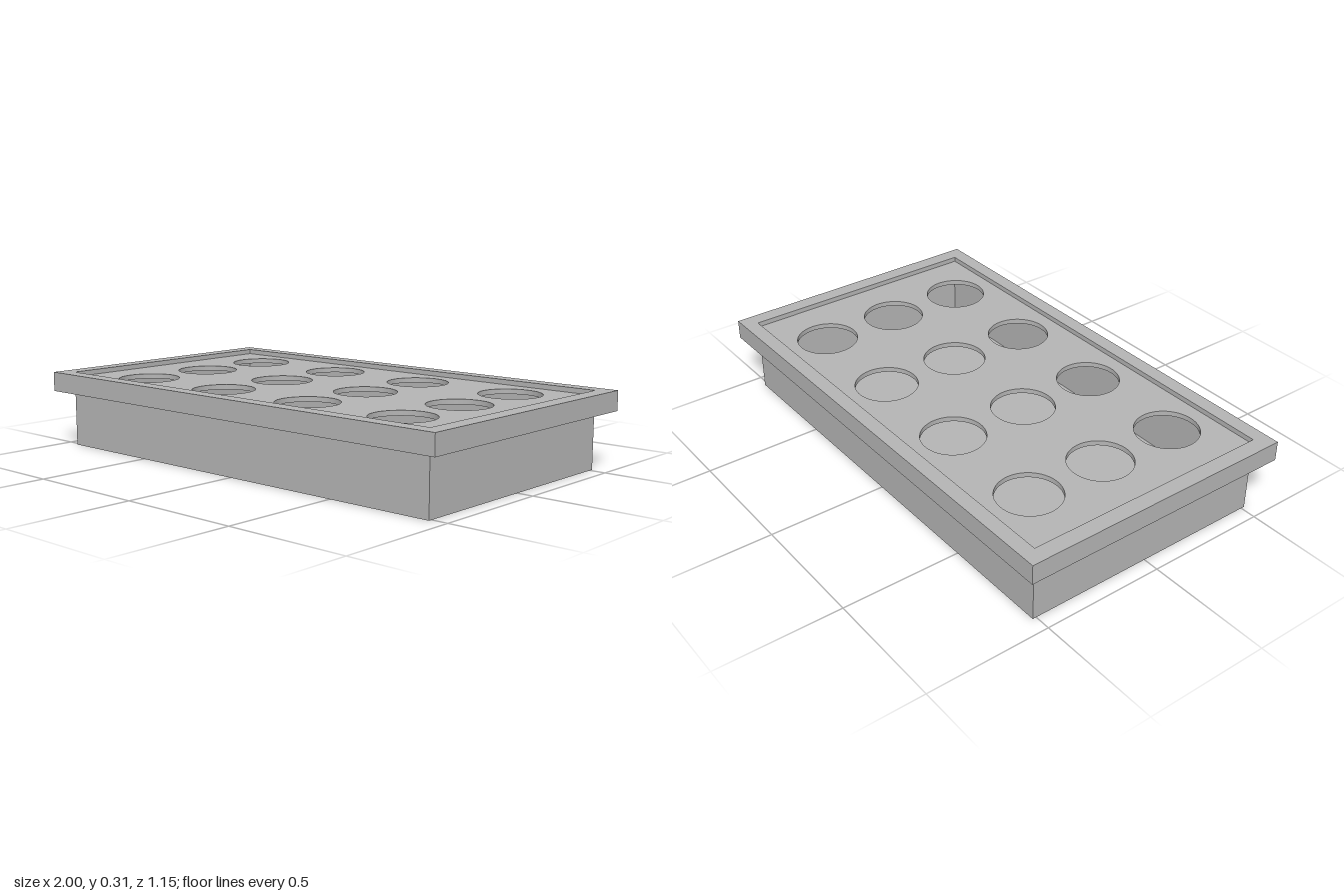
import * as THREE from 'three';

// Rectangle outline, used both for slabs and for openings
function rect(target, hx, hz) {
  target.moveTo(-hx, -hz);
  target.lineTo(hx, -hz);
  target.lineTo(hx, hz);
  target.lineTo(-hx, hz);
  target.closePath();
  return target;
}

// Horizontal slab with openings, from height y0 to y1
function slab(name, hx, hz, openings, y0, y1, material) {
  const shape = rect(new THREE.Shape(), hx, hz);
  shape.holes.push(...openings);
  const geometry = new THREE.ExtrudeGeometry(shape, {
    depth: y1 - y0, bevelEnabled: false, curveSegments: 48,
  });
  geometry.rotateX(-Math.PI / 2);
  geometry.translate(0, y0, 0);
  const mesh = new THREE.Mesh(geometry, material);
  mesh.name = name;
  return mesh;
}

export function createModel() {
  const group = new THREE.Group();
  group.name = 'trayWithHoledInsert';
  const grey = new THREE.MeshStandardMaterial({ color: 0xb4b4b4 });
  grey.name = 'plain grey';

  const bodyX = 0.935, bodyZ = 0.515, wall = 0.01;
  const floorTop = 0.015, rimBottom = 0.23, rimTop = 0.31;

  // Hollow body: closed floor and thin side walls
  group.add(slab('floor', bodyX, bodyZ, [], 0, floorTop, grey));
  const cavity = rect(new THREE.Path(), bodyX - wall, bodyZ - wall);
  group.add(slab('sideWalls', bodyX, bodyZ, [cavity], floorTop, 0.27, grey));

  // Overhanging rim around the top
  const opening = rect(new THREE.Path(), bodyX, bodyZ);
  group.add(slab('rim', 1, 0.575, [opening], rimBottom, rimTop, grey));

  // Insert plate, set slightly below the rim, with a 4 x 3 grid of round holes
  const holes = [];
  for (const x of [-0.675, -0.225, 0.225, 0.675]) {
    for (const z of [-0.33, 0, 0.33]) {
      holes.push(new THREE.Path().absarc(x, z, 0.125, 0, Math.PI * 2, true));
    }
  }
  group.add(slab('insertPlate', bodyX, bodyZ, holes, 0.27, 0.29, grey));

  return group;
}
